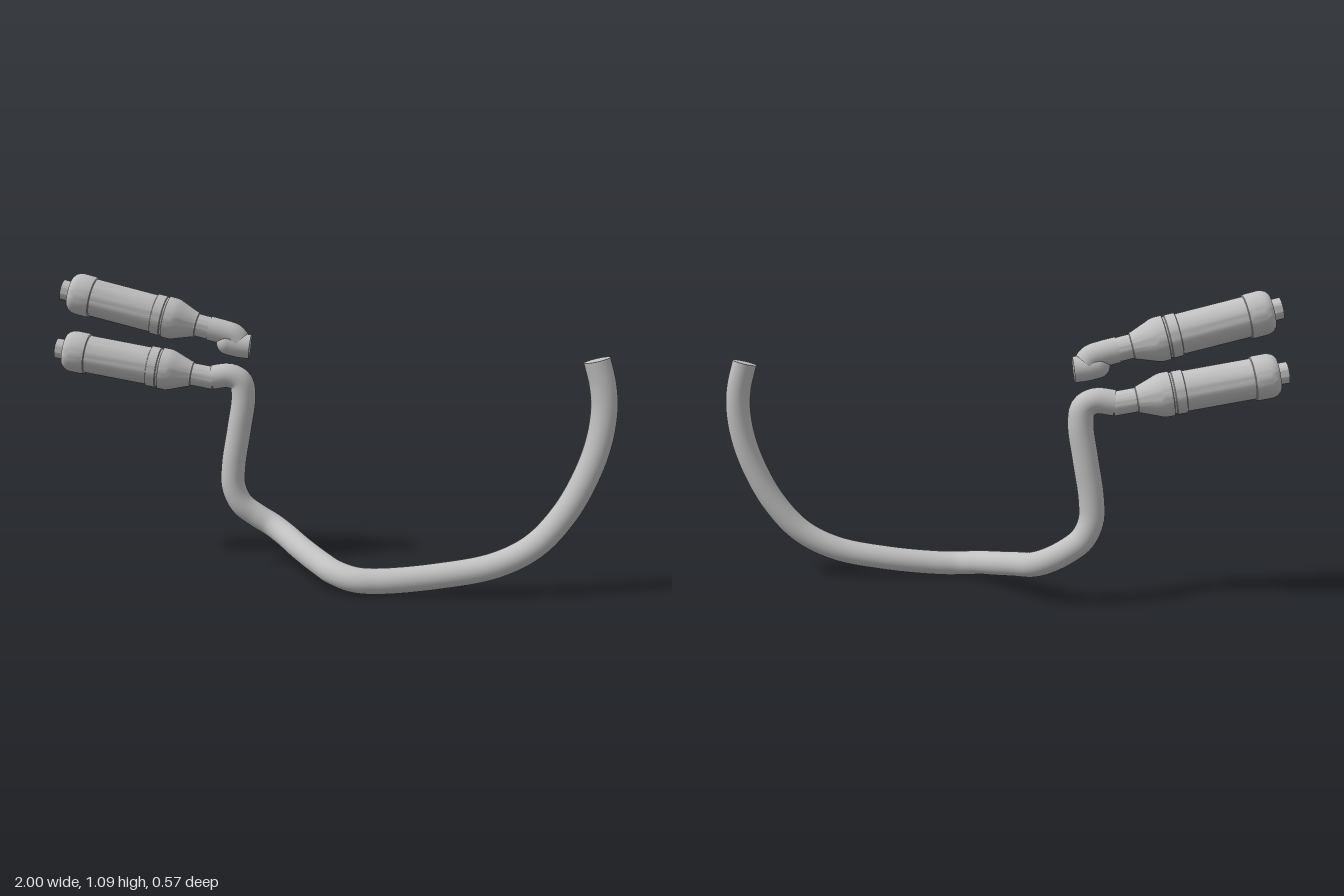
import * as THREE from 'three';
import { toCreasedNormals } from 'three/addons/utils/BufferGeometryUtils.js';

const PIPE_R = 0.045;

export function createModel() {
  const model = new THREE.Group();
  model.name = 'exhaust';
  const steel = new THREE.MeshStandardMaterial({ color: 0xc0c0c0 });
  steel.name = 'steel grey';

  const add = (parent, name, geometry) => {
    const mesh = new THREE.Mesh(geometry, steel);
    mesh.name = name;
    parent.add(mesh);
    return mesh;
  };

  // Round pipe through the given points, closed by a flat disc at each end
  const addPipe = (name, points, segments) => {
    const group = new THREE.Group();
    group.name = name;
    const curve = new THREE.CatmullRomCurve3(points.map(p => new THREE.Vector3(...p)));
    add(group, name + 'Tube', new THREE.TubeGeometry(curve, segments, PIPE_R, 32));
    for (const end of [0, 1]) {
      const disc = add(group, name + 'End', new THREE.CircleGeometry(PIPE_R, 32));
      const at = curve.getPointAt(end);
      disc.position.copy(at);
      disc.lookAt(at.add(curve.getTangentAt(end).multiplyScalar(end ? 1 : -1)));
    }
    model.add(group);
  };

  // Main header pipe: from the free end, under the model, up to the lower silencer
  addPipe('headerPipe', [
    [0.925, 0.815, 0.235], [0.947, 0.73, 0.235], [0.954, 0.65, 0.235], [0.94, 0.54, 0.235],
    [0.9, 0.42, 0.235], [0.83, 0.29, 0.235], [0.73, 0.178, 0.235], [0.6, 0.11, 0.235],
    [0.4, 0.07, 0.235], [0.2, 0.051, 0.235], [0.12, 0.053, 0.225], [0.05, 0.066, 0.18],
    [0, 0.08, 0.11], [-0.075, 0.106, -0.01], [-0.14, 0.132, -0.125], [-0.19, 0.158, -0.172],
    [-0.25, 0.192, -0.185], [-0.305, 0.235, -0.185], [-0.335, 0.3, -0.185], [-0.335, 0.38, -0.185],
    [-0.313, 0.52, -0.185], [-0.296, 0.64, -0.185], [-0.305, 0.695, -0.185],
    [-0.345, 0.718, -0.185], [-0.41, 0.712, -0.187],
  ], 200);

  // Upper branch: elbow leaving the silencer and the short stub folded under it
  addPipe('upperElbow', [
    [-0.42, 0.893, -0.187], [-0.37, 0.88, -0.186], [-0.33, 0.866, -0.185], [-0.312, 0.845, -0.185],
  ], 24);
  addPipe('upperStub', [[-0.35, 0.84, -0.185], [-0.31, 0.83, -0.185], [-0.27, 0.825, -0.185]], 12);
  const elbowBack = add(model, 'elbowBack', new THREE.SphereGeometry(PIPE_R, 24, 16));
  elbowBack.position.set(-0.35, 0.84, -0.185);

  // Silencer profile (radius, distance from the outlet): hollow outlet, end cap, can, bands, neck
  const profile = [
    [0, 0.12], [0.031, 0.12], [0.031, 0], [0.037, 0], [0.037, 0.075], [0.054, 0.075],
    [0.054, 0.034], [0.06, 0.034], [0.069, 0.042], [0.074, 0.052], [0.077, 0.066], [0.077, 0.108],
    [0.075, 0.118], [0.07, 0.12], [0.07, 0.352], [0.075, 0.354], [0.075, 0.388], [0.071, 0.39],
    [0.071, 0.396], [0.077, 0.398], [0.077, 0.425], [0.074, 0.44], [0.068, 0.455], [0.049, 0.505],
    [0.046, 0.515], [0.042, 0.517], [0.042, 0.6], [0, 0.6],
  ].map(p => new THREE.Vector2(...p));
  const silencerGeometry = toCreasedNormals(new THREE.LatheGeometry(profile, 48), 0.6);

  const up = new THREE.Vector3(0, 1, 0);
  const silencers = [
    ['lowerSilencer', [-0.993, 0.817, -0.21], [-0.39, 0.705, -0.187]],
    ['upperSilencer', [-0.965, 1.034, -0.21], [-0.4, 0.888, -0.187]],
  ];
  for (const [name, outlet, neck] of silencers) {
    const start = new THREE.Vector3(...outlet);
    const direction = new THREE.Vector3(...neck).sub(start).normalize();
    const silencer = add(model, name, silencerGeometry);
    silencer.position.copy(start);
    silencer.quaternion.setFromUnitVectors(up, direction);
  }

  return model;
}
